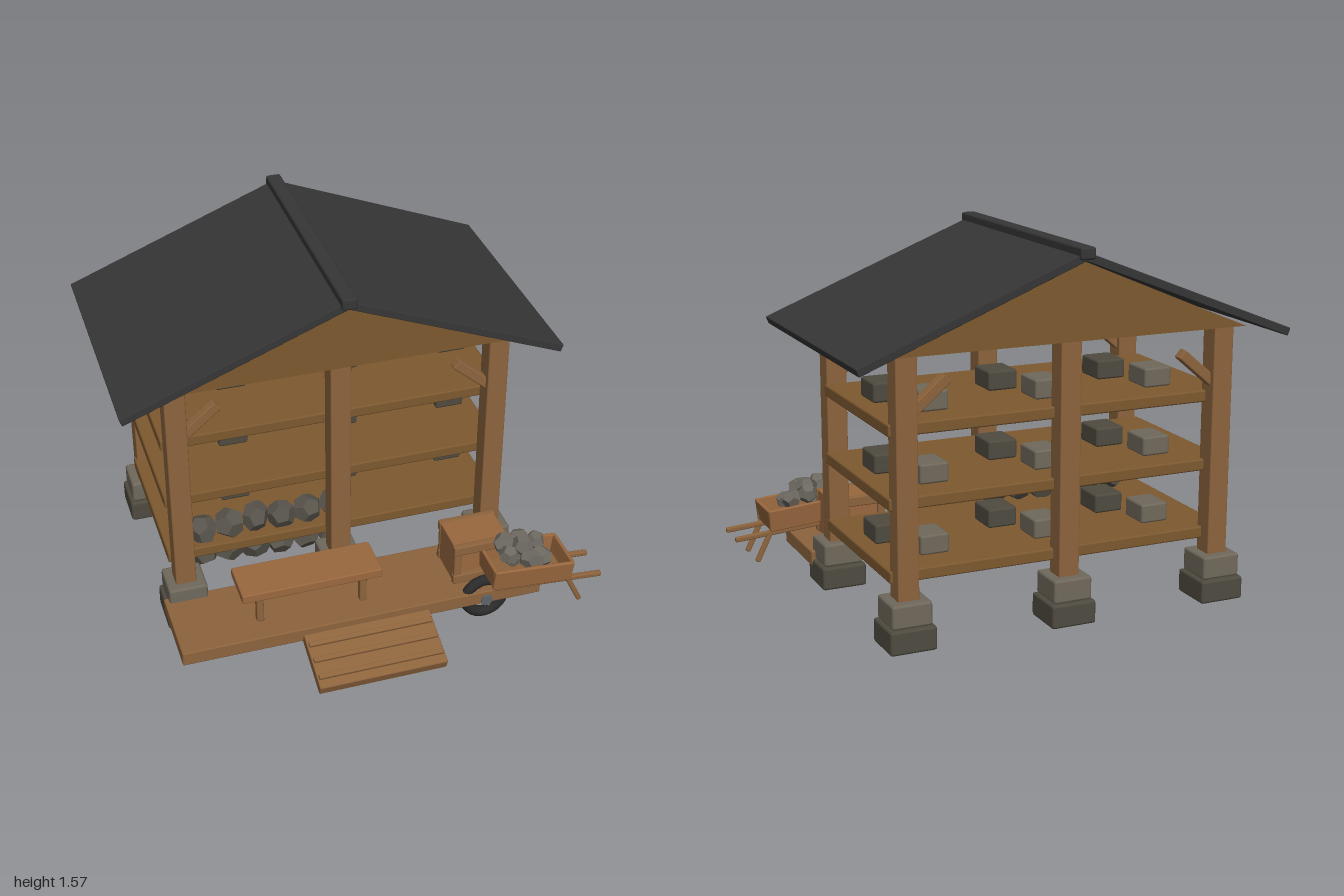
import * as THREE from 'three';
import { RoundedBoxGeometry } from 'three/addons/geometries/RoundedBoxGeometry.js';

const mat = (color, flatShading = false) => new THREE.MeshStandardMaterial({ color, flatShading });
const wood = mat(0x8d643d), plank = mat(0x7d5930), benchWood = mat(0x9a683f), roofMat = mat(0x363636);
const paleStone = mat(0x70695c), darkStone = mat(0x4f4b40), rubber = mat(0x2b2b2b), iron = mat(0x5b646c);
const rockMat = mat(0x58544c, true), rockPale = mat(0x6c6860, true);

const CX = -0.0625;                    // centre line of the building
const POST_X = [CX - 0.695, CX, CX + 0.695];
const FRONT_Z = 0.155, BACK_Z = -0.645;

let seed = 7;
const rand = () => (seed = (seed * 16807) % 2147483647) / 2147483647;

function add(parent, name, geometry, material, x = 0, y = 0, z = 0) {
  const m = new THREE.Mesh(geometry, material);
  m.name = name;
  m.position.set(x, y, z);
  parent.add(m);
  return m;
}

// Box with softly bevelled edges, placed by its centre
function block(parent, name, material, [w, h, d], [x, y, z], r = 0.006) {
  return add(parent, name, new RoundedBoxGeometry(w, h, d, 1, Math.min(r, h / 3, w / 3, d / 3)), material, x, y, z);
}

// Square bar between two points in a plane of constant z
function bar(parent, name, material, [x1, y1], [x2, y2], z, h, d) {
  const m = block(parent, name, material, [Math.hypot(x2 - x1, y2 - y1), h, d], [(x1 + x2) / 2, (y1 + y2) / 2, z]);
  m.rotation.z = Math.atan2(y2 - y1, x2 - x1);
  return m;
}

// Faceted boulder
function rock(parent, x, y, z, r, material = rockMat) {
  const m = add(parent, 'rock', new THREE.DodecahedronGeometry(r), material, x, y, z);
  m.rotation.set(rand() * 6, rand() * 6, rand() * 6);
  m.scale.set(0.95 + rand() * 0.2, 0.85 + rand() * 0.2, 0.95 + rand() * 0.2);
}

function group(parent, name) {
  const g = new THREE.Group();
  g.name = name;
  parent.add(g);
  return g;
}

function buildFrame(root) {
  const frame = group(root, 'frame');
  for (const z of [FRONT_Z, BACK_Z]) {
    for (const x of POST_X) {
      block(frame, 'footingStone', darkStone, [0.197, 0.1, 0.197], [x, 0.08, z], 0.012);
      block(frame, 'padStone', paleStone, [0.17, 0.1, 0.17], [x, 0.18, z], 0.012);
      block(frame, 'post', wood, [0.09, 1.0, 0.09], [x, 0.722, z]);
    }
    // Diagonal braces under the eaves
    for (const s of [-1, 1])
      bar(frame, 'brace', wood, [CX + s * 0.68, 0.955], [CX + s * 0.515, 1.095], z, 0.045, 0.045);
  }
  // Shelves with a pale and a dark block in each bay
  for (const y of [0.31, 0.605, 0.9]) {
    block(frame, 'shelf', plank, [1.502, 0.05, 0.748], [CX, y, -0.26], 0.008);
    for (let i = 0; i < 3; i++) {
      const x = i * 0.5025;
      block(frame, 'paleBlock', paleStone, [0.125, 0.082, 0.147], [x - 0.56, y + 0.067, -0.432], 0.01);
      block(frame, 'darkBlock', darkStone, [0.13, 0.082, 0.15], [x - 0.44, y + 0.074, -0.245], 0.01);
    }
  }
}

function buildRoof(root) {
  const roof = group(root, 'roof');
  const slope = Math.atan(0.395), len = 0.9375 / Math.cos(slope), t = 0.034;
  for (const s of [-1, 1]) {
    const side = group(roof, 'roofSide');
    side.position.set(CX, 1.565, -0.249);
    side.rotation.z = -s * slope;
    block(side, 'roofSlab', roofMat, [len, t, 1.112], [s * len / 2, -t / 2, 0], 0.004);
  }
  block(roof, 'ridgeCap', roofMat, [0.066, 0.05, 1.145], [CX, 1.56, -0.249], 0.01);
  // Triangular gable boards
  const tri = new THREE.Shape([[-0.795, 1.195], [0.795, 1.195], [0, 1.53]].map(p => new THREE.Vector2(...p)));
  for (const z of [FRONT_Z + 0.026, BACK_Z - 0.048])
    add(roof, 'gable', new THREE.ExtrudeGeometry(tri, { depth: 0.022, bevelEnabled: false }), plank, CX, 0, z);
}

function buildPorch(root) {
  const porch = group(root, 'porch');
  block(porch, 'deck', wood, [1.598, 0.065, 0.367], [CX - 0.001, 0.133, 0.383]);
  // Sloping ramp with three cleats
  const ramp = group(porch, 'ramp');
  ramp.position.set(-0.064, 0.078, 0.69);
  ramp.rotation.x = 0.345;
  block(ramp, 'rampBoard', wood, [0.562, 0.05, 0.262], [0, 0, 0]);
  for (const z of [-0.075, 0, 0.08]) block(ramp, 'cleat', wood, [0.545, 0.016, 0.022], [0, 0.03, z], 0.003);
  // Bench
  const bench = group(porch, 'bench');
  block(bench, 'benchSeat', benchWood, [0.615, 0.042, 0.2], [-0.272, 0.313, 0.382]);
  for (const x of [-0.5, -0.045]) for (const z of [0.31, 0.45])
    block(bench, 'benchLeg', wood, [0.032, 0.13, 0.032], [x, 0.23, z]);
  // Crate with raised bands
  const crate = group(porch, 'crate');
  block(crate, 'crateBody', benchWood, [0.25, 0.195, 0.17], [0.49, 0.264, 0.375]);
  for (const z of [0.282, 0.468]) {
    for (const y of [0.19, 0.343]) block(crate, 'crateBand', wood, [0.262, 0.045, 0.03], [0.49, y, z]);
    for (const x of [0.38, 0.6]) block(crate, 'crateUpright', wood, [0.035, 0.14, 0.02], [x, 0.265, z]);
  }
}

function buildRockPile(root) {
  const pile = group(root, 'rockPile');
  for (let i = 0; i < 6; i++) {
    const x = -0.642 + i * 0.117;
    rock(pile, x, 0.385 + rand() * 0.02, 0.05, 0.064);
    rock(pile, x, 0.228 + rand() * 0.02, 0.015, 0.07);
  }
}

function buildBarrow(root) {
  const cart = group(root, 'wheelbarrow');
  // Wheel
  const wheel = group(cart, 'wheel');
  wheel.position.set(0.484, 0.122, 0.538);
  add(wheel, 'tyre', new THREE.TorusGeometry(0.086, 0.024, 10, 28), rubber);
  add(wheel, 'axle', new THREE.CylinderGeometry(0.025, 0.025, 0.075, 14), iron).rotation.x = Math.PI / 2;
  for (const a of [0, Math.PI / 2])
    block(wheel, 'spoke', wood, [0.15, 0.012, 0.012], [0, 0, 0]).rotation.z = a + 0.4;
  // Handles and slanted legs
  for (const z of [0.458, 0.606]) {
    bar(cart, 'handle', wood, [0.5, 0.213], [1.0, 0.176], z, 0.022, 0.024);
    bar(cart, 'barrowLeg', wood, [0.835, 0.2], [0.903, 0.062], z + (z > 0.53 ? 0.008 : 0), 0.022, 0.024);
  }
  // Open tray, tilted slightly forward
  const tray = group(cart, 'tray');
  tray.position.set(0.667, 0.262, 0.533);
  tray.rotation.z = -0.08;
  block(tray, 'trayFloor', wood, [0.34, 0.02, 0.19], [0, -0.038, 0]);
  for (const s of [-1, 1]) {
    block(tray, 'traySide', benchWood, [0.366, 0.1, 0.018], [0, 0, s * 0.098]).rotation.x = s * 0.1;
    block(tray, 'trayEnd', benchWood, [0.018, 0.1, 0.2], [s * 0.173, 0, 0]).rotation.z = -s * 0.1;
  }
  // Load of small stones
  const load = [[0.57, 0.36, 0.58], [0.58, 0.355, 0.49], [0.65, 0.36, 0.535], [0.66, 0.345, 0.465],
    [0.73, 0.325, 0.48], [0.66, 0.335, 0.6], [0.73, 0.3, 0.56], [0.61, 0.3, 0.53]];
  for (const p of load) rock(cart, ...p, 0.045, rockPale);
}

export function createModel() {
  const root = new THREE.Group();
  root.name = 'storageShed';
  buildFrame(root);
  buildRoof(root);
  buildPorch(root);
  buildRockPile(root);
  buildBarrow(root);
  return root;
}
